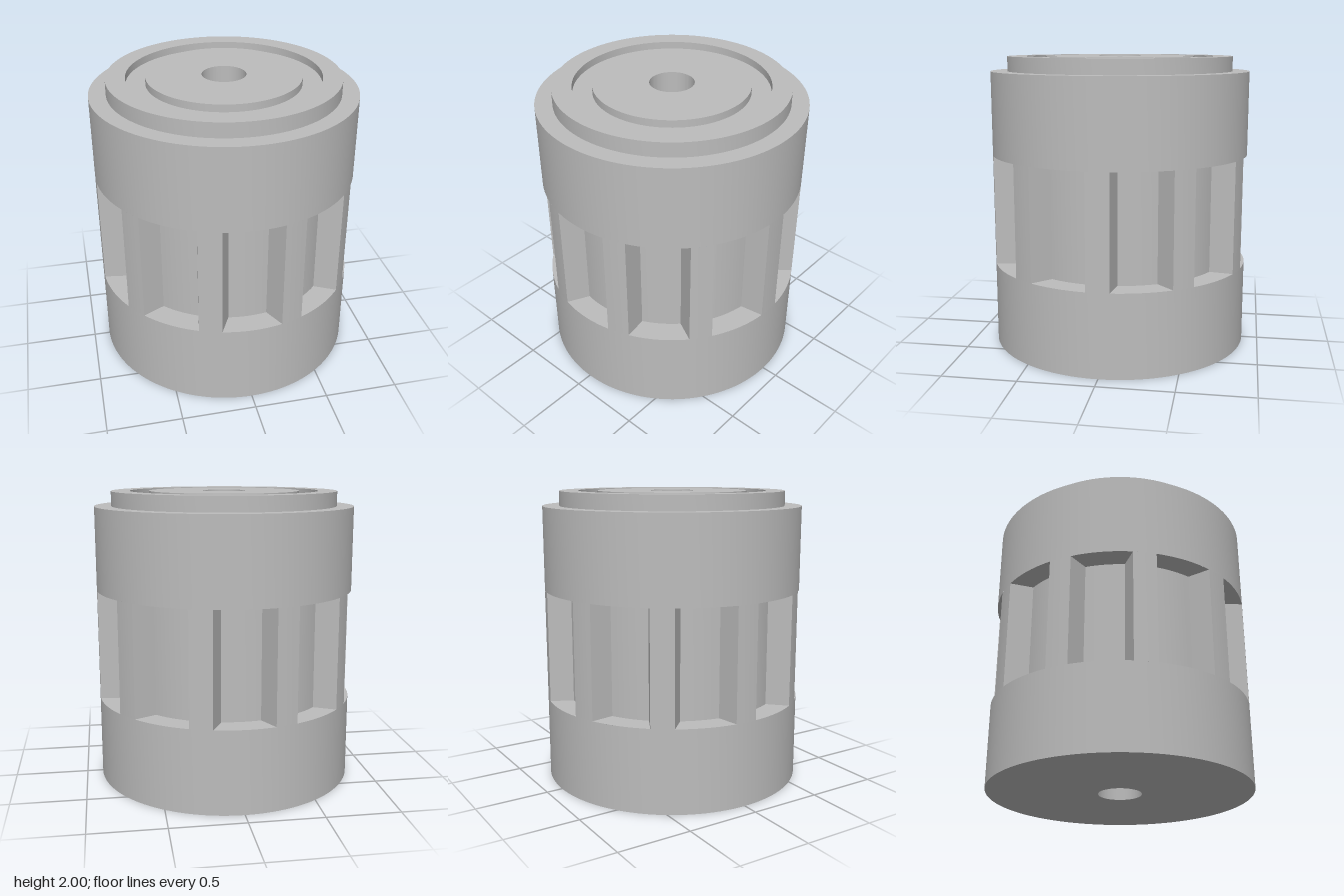
import * as THREE from 'three';
import { toCreasedNormals } from 'three/addons/utils/BufferGeometryUtils.js';

const R = 0.89;           // outer radius
const FLOOR = 0.735;      // radius of the slot floors
const BORE = 0.147;
const SLOT_LOW = 0.57, SLOT_HIGH = 1.33;
const COUNT = 10;
const DEG = Math.PI / 180;
const PITCH = 360 / COUNT;
const OUT_HALF = 13.05, IN_HALF = 10.2;   // half angles of a slot, outside and inside

// Points along an arc, angles in degrees from the shape's y axis
function arc(radius, from, to, steps) {
  const pts = [];
  for (let i = 0; i <= steps; i++) {
    const a = (from + (to - from) * i / steps) * DEG;
    pts.push(new THREE.Vector2(radius * Math.sin(a), radius * Math.cos(a)));
  }
  return pts;
}

function turned(points) {
  const profile = points.map(([x, y]) => new THREE.Vector2(x, y));
  return toCreasedNormals(new THREE.LatheGeometry(profile, 120), 30 * DEG);
}

// Side walls of the slotted middle, without its hidden caps
function slottedWalls() {
  const outline = [];
  for (let i = 0; i < COUNT; i++) {
    const c = i * PITCH;
    outline.push(...arc(FLOOR, c - IN_HALF, c + IN_HALF, 8));
    outline.push(...arc(R, c + OUT_HALF, c + PITCH - OUT_HALF, 4));
  }
  const solid = new THREE.ExtrudeGeometry(new THREE.Shape(outline), {
    depth: SLOT_HIGH - SLOT_LOW, bevelEnabled: false,
  });
  const side = solid.groups[1];
  const walls = new THREE.BufferGeometry();
  walls.setAttribute('position', new THREE.BufferAttribute(
    solid.attributes.position.array.slice(side.start * 3, (side.start + side.count) * 3), 3));
  walls.rotateX(-Math.PI / 2);
  return toCreasedNormals(walls, 20 * DEG);
}

export function createModel() {
  const model = new THREE.Group();
  model.name = 'slottedCylinder';
  const grey = new THREE.MeshStandardMaterial({ color: 0xbcbcbc });
  grey.name = 'grey';

  const add = (name, geometry, y = 0) => {
    const mesh = new THREE.Mesh(geometry, grey);
    mesh.name = name;
    mesh.position.y = y;
    model.add(mesh);
    return mesh;
  };

  // Lower band with its flat underside
  add('lowerBand', turned([[BORE, 0], [R, 0], [R, SLOT_LOW]]));

  // Upper band, raised rim, ring groove and centre disc
  add('upperBand', turned([
    [R, SLOT_HIGH], [R, 1.9], [0.775, 1.9], [0.775, 2], [0.645, 2],
    [0.645, 1.95], [0.515, 1.95], [0.515, 2], [BORE, 2],
  ]));

  // Hole through the whole height
  add('centreBore', turned([[BORE, 2], [BORE, 0]]));

  // Ribs and slot floors
  add('slottedMiddle', slottedWalls(), SLOT_LOW);

  // Ledges closing each slot below and above
  const ledge = new THREE.ShapeGeometry(new THREE.Shape([
    ...arc(R, -OUT_HALF, OUT_HALF, 10), ...arc(FLOOR, IN_HALF, -IN_HALF, 8),
  ]));
  const lower = ledge.clone().rotateX(-Math.PI / 2);
  const upper = ledge.clone().rotateX(Math.PI / 2);
  for (let i = 0; i < COUNT; i++) {
    add('slotLowerLedge', lower, SLOT_LOW).rotation.y = i * PITCH * DEG;
    add('slotUpperLedge', upper, SLOT_HIGH).rotation.y = i * PITCH * DEG;
  }
  return model;
}
